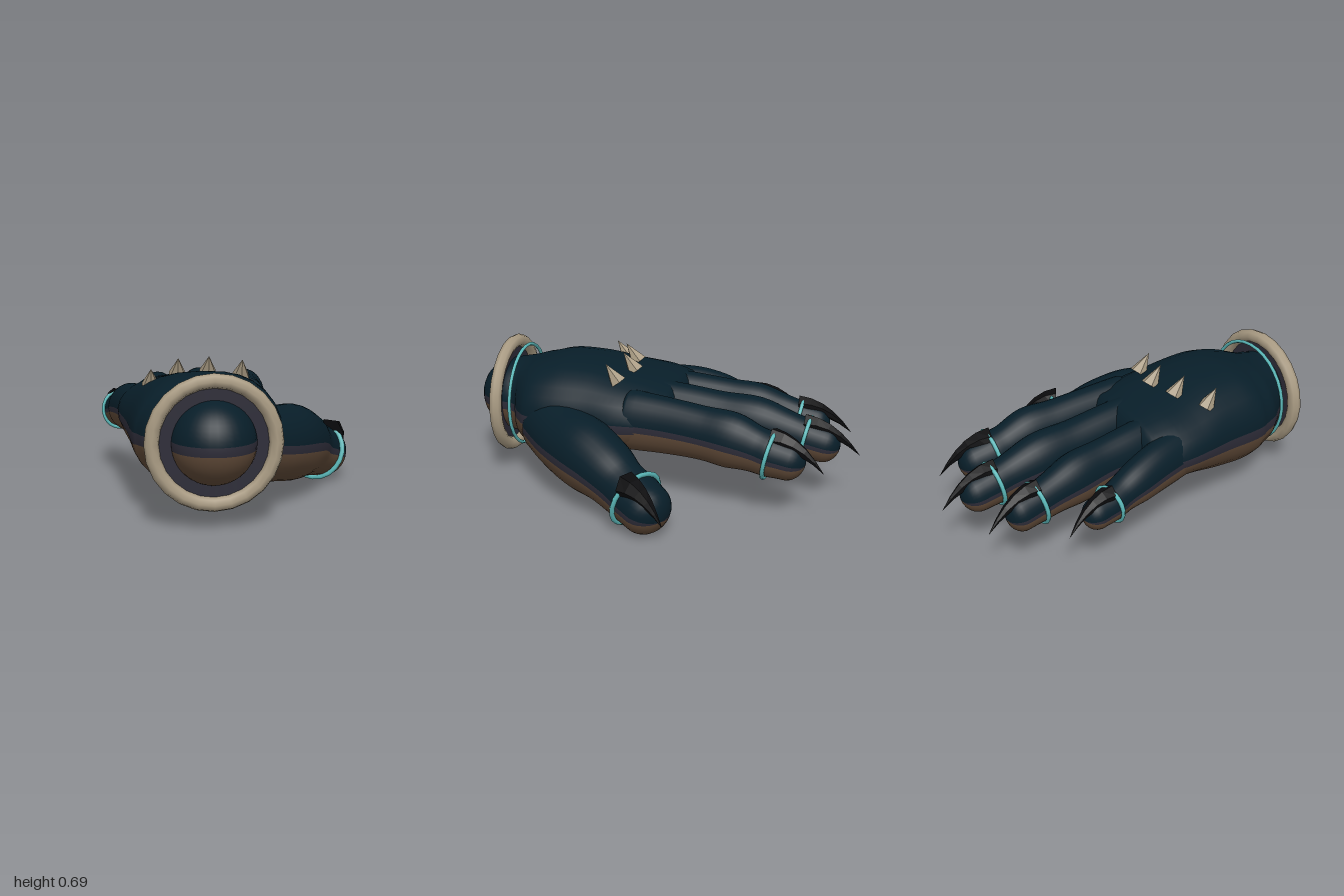
import * as THREE from 'three';

const mat = (name, color) => {
  const m = new THREE.MeshStandardMaterial({ color });
  m.name = name;
  return m;
};
const V = (x, y, z) => new THREE.Vector3(x, y, z);
const UP = V(0, 1, 0);

// Sideways, upward and forward directions of a cross-section
function frame(tangent) {
  const t = tangent.clone().normalize();
  const s = UP.clone().cross(t).normalize();
  return { t, s, u: t.clone().cross(s) };
}

// Ring angles, split at the colour borders: back, seam, palm side, seam
function ringAngles() {
  const hi = Math.asin(0.06), lo = Math.asin(0.16), n = 14, out = [];
  for (let i = 0; i <= n; i++) out.push(hi + (Math.PI - 2 * hi) * i / n);
  for (let i = 0; i <= n; i++) out.push(Math.PI + lo + (Math.PI - 2 * lo) * i / n);
  return { angles: out, n };
}

// Smooth limb through sections [x, y, z, halfWidth, halfHeight], domed at both ends
function limb(sections, startDome, endDome, square = 1) {
  const path = new THREE.CatmullRomCurve3(sections.map(a => V(a[0], a[1], a[2])));
  const size = new THREE.SplineCurve(sections.map(a => new THREE.Vector2(a[3], a[4])));
  const { angles, n } = ringAngles();
  const count = angles.length, steps = (sections.length - 1) * 5, dome = 7;
  const pos = [];
  let rows = 0;
  const addRow = (u, shift, k) => {
    const f = frame(path.getTangent(u)), r = size.getPoint(u);
    const c = path.getPoint(u).addScaledVector(f.t, shift);
    for (const a of angles) {
      const cx = Math.sign(Math.cos(a)) * Math.abs(Math.cos(a)) ** square;
      const p = c.clone().addScaledVector(f.s, cx * r.x * k).addScaledVector(f.u, Math.sin(a) * r.y * k);
      pos.push(p.x, p.y, p.z);
    }
    rows++;
  };
  for (let i = dome; i > 0; i--) {
    const a = i / dome * 1.565;
    addRow(0, -startDome * Math.sin(a), Math.cos(a));
  }
  for (let i = 0; i <= steps; i++) addRow(i / steps, 0, 1);
  for (let i = 1; i <= dome; i++) {
    const a = i / dome * 1.565;
    addRow(1, endDome * Math.sin(a), Math.cos(a));
  }
  const bands = [[], [], []];
  for (let i = 0; i < rows - 1; i++) {
    for (let j = 0; j < count; j++) {
      const k = (j + 1) % count, a = i * count, b = a + count;
      const band = j < n ? 0 : (j === n || j === count - 1) ? 1 : 2;
      bands[band].push(a + j, a + k, b + j, a + k, b + k, b + j);
    }
  }
  const g = new THREE.BufferGeometry();
  g.setAttribute('position', new THREE.Float32BufferAttribute(pos, 3));
  g.setIndex(bands.flat());
  let start = 0;
  bands.forEach((b, i) => { g.addGroup(start, b.length, i); start += b.length; });
  g.computeVertexNormals();
  return { geometry: g, path };
}

// Faceted horn: a cone bent along a curve from base to tip
function horn(base, tip, radius, arch, sides) {
  const mid = base.clone().lerp(tip, 0.5).add(arch);
  const curve = new THREE.QuadraticBezierCurve3(base, mid, tip);
  const g = new THREE.ConeGeometry(radius, 1, sides, 5);
  const p = g.attributes.position, q = new THREE.Quaternion();
  for (let i = 0; i < p.count; i++) {
    const t = THREE.MathUtils.clamp(p.getY(i) + 0.5, 0, 1);
    q.setFromUnitVectors(UP, curve.getTangent(t).normalize());
    const v = V(p.getX(i), 0, p.getZ(i)).applyQuaternion(q).add(curve.getPoint(t));
    p.setXYZ(i, v.x, v.y, v.z);
  }
  const flat = g.toNonIndexed();
  flat.computeVertexNormals();
  return flat;
}

export function createModel() {
  const back = mat('dark teal hide', 0x081e29);
  const slate = mat('slate seam and lining', 0x2d2c38);
  slate.side = THREE.DoubleSide;
  const pad = mat('brown pad', 0x5f4937);
  const bone = mat('bone', 0xa99b83);
  const glow = mat('turquoise band', 0x5cbabb);
  const black = mat('black claw', 0x0b0b0d);
  const skin = [back, slate, pad];

  const model = new THREE.Group();
  model.name = 'clawedHand';
  const add = (name, geometry, material, parent = model) => {
    const m = new THREE.Mesh(geometry, material);
    m.name = name;
    parent.add(m);
    return m;
  };

  // Round wrist end, cut into three level colour zones
  const zones = [0, Math.acos(0.07), Math.acos(-0.15), Math.PI];
  ['wristTop', 'wristSeam', 'wristBottom'].forEach((name, i) => {
    const g = new THREE.SphereGeometry(0.19, 32, i === 1 ? 1 : 12, 0, Math.PI * 2, zones[i], zones[i + 1] - zones[i]);
    add(name, g, skin[i]).position.set(-0.17, 0.388, 0.81);
  });

  // Palm, narrowing to the wrist
  add('palm', limb([
    [-0.17, 0.388, 0.81, 0.19, 0.19], [-0.175, 0.386, 0.76, 0.235, 0.197], [-0.175, 0.382, 0.69, 0.3, 0.22],
    [-0.17, 0.378, 0.6, 0.338, 0.245], [-0.17, 0.378, 0.5, 0.35, 0.258], [-0.175, 0.385, 0.35, 0.355, 0.245],
    [-0.18, 0.392, 0.2, 0.37, 0.21], [-0.19, 0.395, 0.06, 0.37, 0.18], [-0.185, 0.395, -0.03, 0.35, 0.155],
  ], 0.015, 0.08, 0.78).geometry, skin);

  // Digits: sections, dome length, claw base and tip; the band sits on the second-last section
  const digits = {
    littleFinger: {
      s: [[-0.44, 0.39, 0.1, 0.1, 0.13], [-0.485, 0.38, -0.08, 0.092, 0.125], [-0.508, 0.36, -0.2, 0.088, 0.112],
        [-0.522, 0.335, -0.3, 0.078, 0.092], [-0.538, 0.318, -0.375, 0.076, 0.086], [-0.552, 0.308, -0.455, 0.07, 0.078]],
      dome: 0.075, base: [-0.55, 0.378, -0.385], tip: [-0.6, 0.27, -0.64], r: 0.05,
    },
    ringFinger: {
      s: [[-0.3, 0.4, 0.1, 0.1, 0.15], [-0.315, 0.395, -0.1, 0.098, 0.14], [-0.322, 0.385, -0.28, 0.092, 0.13],
        [-0.33, 0.37, -0.43, 0.099, 0.133], [-0.34, 0.345, -0.56, 0.084, 0.11], [-0.345, 0.325, -0.648, 0.079, 0.1],
        [-0.35, 0.308, -0.735, 0.077, 0.093]],
      dome: 0.075, base: [-0.348, 0.398, -0.655], tip: [-0.37, 0.27, -0.92], r: 0.055,
    },
    middleFinger: {
      s: [[-0.11, 0.405, 0.1, 0.11, 0.155], [-0.11, 0.4, -0.1, 0.104, 0.145], [-0.108, 0.388, -0.3, 0.102, 0.135],
        [-0.105, 0.375, -0.48, 0.108, 0.139], [-0.1, 0.345, -0.64, 0.088, 0.112], [-0.098, 0.328, -0.727, 0.087, 0.102],
        [-0.095, 0.31, -0.815, 0.083, 0.095]],
      dome: 0.085, base: [-0.097, 0.4, -0.73], tip: [-0.085, 0.27, -1.0], r: 0.058,
    },
    indexFinger: {
      s: [[0.07, 0.4, 0.12, 0.11, 0.155], [0.09, 0.395, -0.08, 0.1, 0.145], [0.11, 0.385, -0.26, 0.102, 0.137],
        [0.128, 0.372, -0.4, 0.108, 0.142], [0.136, 0.343, -0.52, 0.094, 0.118], [0.143, 0.326, -0.595, 0.1, 0.112],
        [0.152, 0.31, -0.68, 0.09, 0.1]],
      dome: 0.09, base: [0.146, 0.405, -0.61], tip: [0.188, 0.27, -0.865], r: 0.062,
    },
    thumb: {
      s: [[0.03, 0.32, 0.56, 0.165, 0.175], [0.15, 0.29, 0.43, 0.17, 0.178], [0.255, 0.265, 0.295, 0.165, 0.185],
        [0.33, 0.232, 0.175, 0.152, 0.163], [0.39, 0.188, 0.08, 0.13, 0.143], [0.445, 0.156, -0.01, 0.134, 0.133],
        [0.49, 0.132, -0.075, 0.128, 0.128]],
      dome: 0.11, base: [0.515, 0.25, 0.01], tip: [0.622, 0.11, -0.19], r: 0.07,
    },
  };
  for (const [name, d] of Object.entries(digits)) {
    const group = new THREE.Group();
    group.name = name;
    model.add(group);
    const { geometry, path } = limb(d.s, 0.05, d.dome);
    add(name + 'Flesh', geometry, skin, group);
    add(name + 'Claw', horn(V(...d.base), V(...d.tip), d.r, V(0.01, 0.08, 0), 6), black, group);

    const k = d.s.length - 2, u = k / (k + 1), f = frame(path.getTangent(u));
    const band = add(name + 'Band', new THREE.TorusGeometry(1, 0.1, 6, 20), glow, group);
    band.position.copy(path.getPoint(u));
    band.quaternion.setFromRotationMatrix(new THREE.Matrix4().makeBasis(f.s, f.u, f.t));
    band.scale.set(d.s[k][3] + 0.008, d.s[k][4] + 0.008, 0.11);
  }

  // Knuckle spikes leaning toward the wrist
  [[-0.41, 0.55, 0.275], [-0.275, 0.585, 0.185], [-0.125, 0.588, 0.155], [0.03, 0.575, 0.2]].forEach((b, i) => {
    const base = V(...b);
    add('knuckleSpike' + (i + 1), horn(base, base.clone().add(V(0, 0.09, 0.065)), 0.045, V(0, 0, 0), 6), bone);
  });

  // Bone cuff with its lining, and the band behind it
  add('cuff', new THREE.TorusGeometry(0.274, 0.033, 8, 24), bone).position.set(-0.17, 0.388, 0.835);
  add('cuffLining', new THREE.RingGeometry(0.17, 0.265, 32), slate).position.set(-0.17, 0.388, 0.835);
  add('wristBand', new THREE.TorusGeometry(0.26, 0.009, 6, 32), glow).position.set(-0.17, 0.388, 0.765);

  return model;
}
